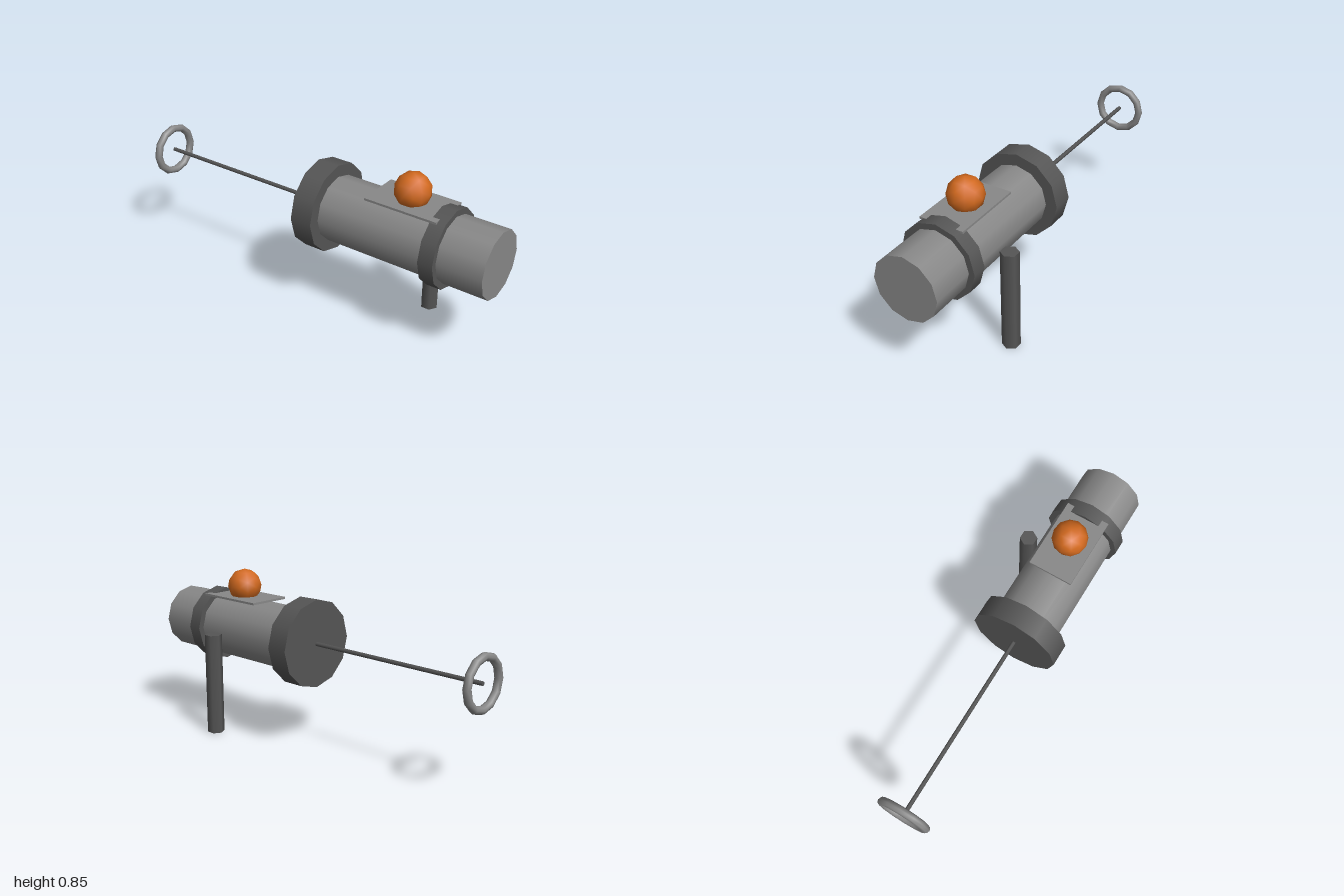
import * as THREE from 'three';

const AXIS_X = -0.02, AXIS_Y = 0.535;

export function createModel() {
  const model = new THREE.Group();
  const steel = new THREE.MeshStandardMaterial({ color: 0x888888 });
  steel.name = 'mid grey steel';
  const iron = new THREE.MeshStandardMaterial({ color: 0x555555 });
  iron.name = 'dark grey iron';
  const orange = new THREE.MeshStandardMaterial({ color: 0xd2691e });
  orange.name = 'orange';

  const add = (name, geometry, material, x, y, z) => {
    const mesh = new THREE.Mesh(geometry, material);
    mesh.name = name;
    mesh.position.set(x, y, z);
    model.add(mesh);
    return mesh;
  };

  // cylinder lying along the main axis between two z positions
  const axial = (name, radius, z0, z1, sides, material) => {
    const geometry = new THREE.CylinderGeometry(radius, radius, z1 - z0, sides).rotateX(Math.PI / 2);
    return add(name, geometry, material, AXIS_X, AXIS_Y, (z0 + z1) / 2);
  };

  // barrel with its front collar and rear flange
  axial('barrel', 0.167, 0.02, 1, 12, steel);
  axial('frontCollar', 0.197, 0.695, 0.771, 12, iron);
  axial('rearFlange', 0.227, 0.01, 0.125, 12, iron);

  // pull rod and ring handle
  axial('pullRod', 0.011, -0.98, 0.02, 6, iron);
  add('ringHandle', new THREE.TorusGeometry(0.122, 0.02, 8, 12), steel, AXIS_X, AXIS_Y, -0.98);

  // plate and ball on top
  add('topPlate', new THREE.BoxGeometry(0.23, 0.011, 0.38), steel, AXIS_X, 0.7055, 0.541);
  add('ball', new THREE.IcosahedronGeometry(0.09, 1), orange, AXIS_X, 0.764, 0.541);

  // side post
  add('sidePost', new THREE.CylinderGeometry(0.045, 0.045, 0.535, 6), iron, 0.208, 0.2675, 0.541);

  return model;
}
